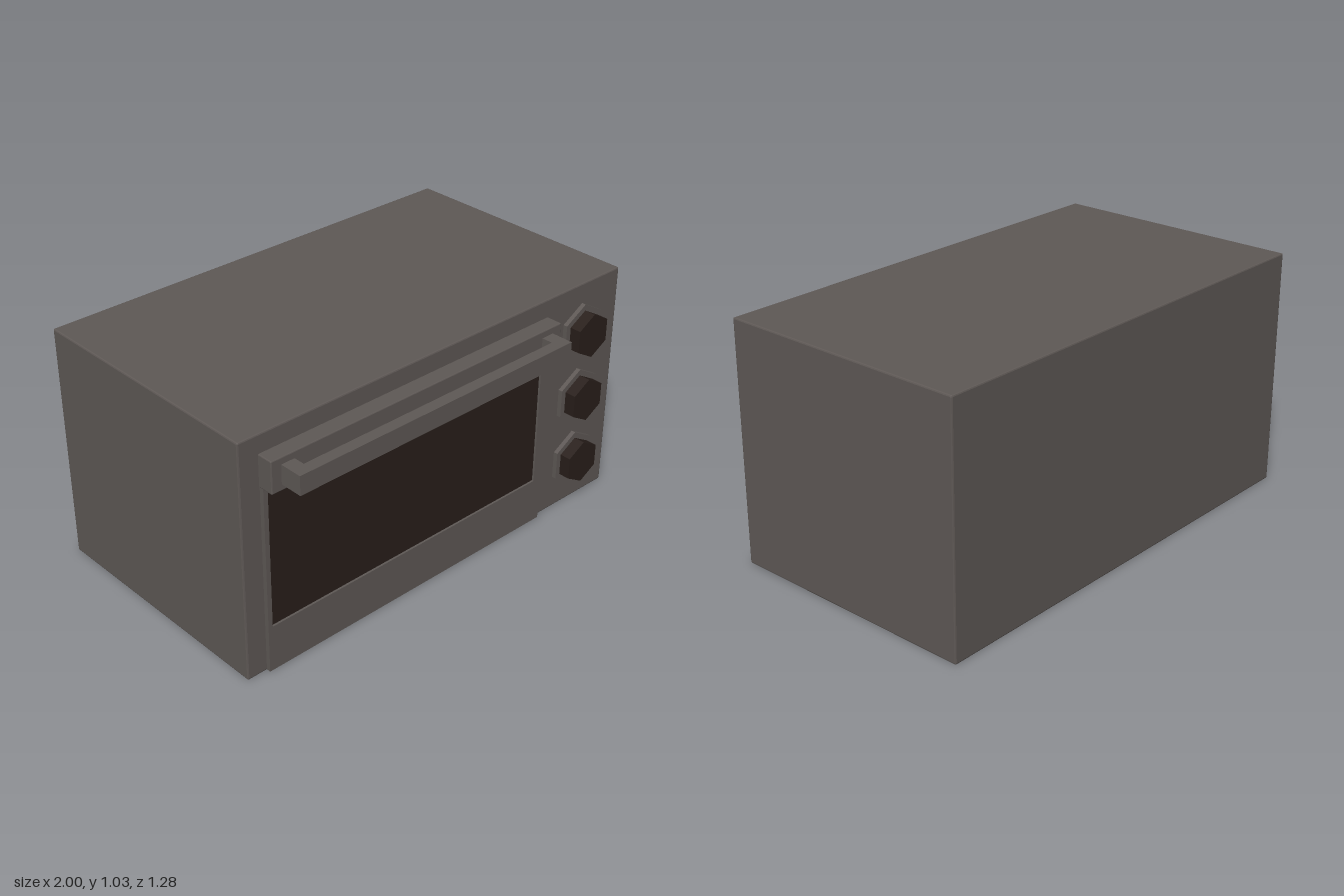
import * as THREE from 'three';
import { RoundedBoxGeometry } from 'three/addons/geometries/RoundedBoxGeometry.js';

const steel = new THREE.MeshStandardMaterial({ color: 0x5e5855, flatShading: true });
const dark = new THREE.MeshStandardMaterial({ color: 0x281e1a, flatShading: true });

export function createModel() {
  const model = new THREE.Group();
  model.name = 'toasterOven';

  const add = (name, geometry, material, x = 0, y = 0, z = 0) => {
    const mesh = new THREE.Mesh(geometry, material);
    mesh.name = name;
    mesh.position.set(x, y, z);
    model.add(mesh);
    return mesh;
  };
  // Box given by its limits on each axis, with an optional edge radius
  const box = (name, material, [x0, x1], [y0, y1], [z0, z1], radius = 0) => {
    const size = [x1 - x0, y1 - y0, z1 - z0];
    const geometry = radius
      ? new RoundedBoxGeometry(...size, 1, radius)
      : new THREE.BoxGeometry(...size);
    return add(name, geometry, material, (x0 + x1) / 2, (y0 + y1) / 2, (z0 + z1) / 2);
  };
  const rectangle = (path, x0, x1, y0, y1) =>
    path.moveTo(x0, y0).lineTo(x1, y0).lineTo(x1, y1).lineTo(x0, y1).closePath();

  // Cabinet with softly broken edges
  box('cabinet', steel, [-1, 1], [0, 1.035], [-0.64, 0.473], 0.006);

  // Door panel with a window opening and recessed glass
  const panel = rectangle(new THREE.Shape(), -0.91, 0.57, 0.003, 0.83);
  panel.holes.push(rectangle(new THREE.Path(), -0.89, 0.53, 0.205, 0.795));
  add('doorPanel', new THREE.ExtrudeGeometry(panel, { depth: 0.025, bevelEnabled: false }),
    steel, 0, 0, 0.467);
  box('windowGlass', dark, [-0.892, 0.532], [0.203, 0.797], [0.467, 0.483]);

  // Raised rail across the top of the door
  box('doorTopRail', steel, [-0.912, 0.573], [0.82, 0.956], [0.467, 0.542], 0.004);

  // Handle bar on two posts
  box('handleBar', steel, [-0.867, 0.525], [0.846, 0.927], [0.59, 0.64]);
  for (const x of [-0.867, 0.465]) {
    box('handlePost', steel, [x, x + 0.06], [0.846, 0.927], [0.538, 0.592]);
  }

  // Three hexagonal knobs, each on a thin hexagonal plate
  const hexagon = (radius, depth) =>
    new THREE.CylinderGeometry(radius, radius, depth, 6).rotateX(Math.PI / 2);
  for (const y of [0.822, 0.52, 0.215]) {
    add('knobPlate', hexagon(0.124, 0.022), steel, 0.78, y, 0.481);
    add('knob', hexagon(0.097, 0.054), dark, 0.78, y, 0.515);
  }

  return model;
}
